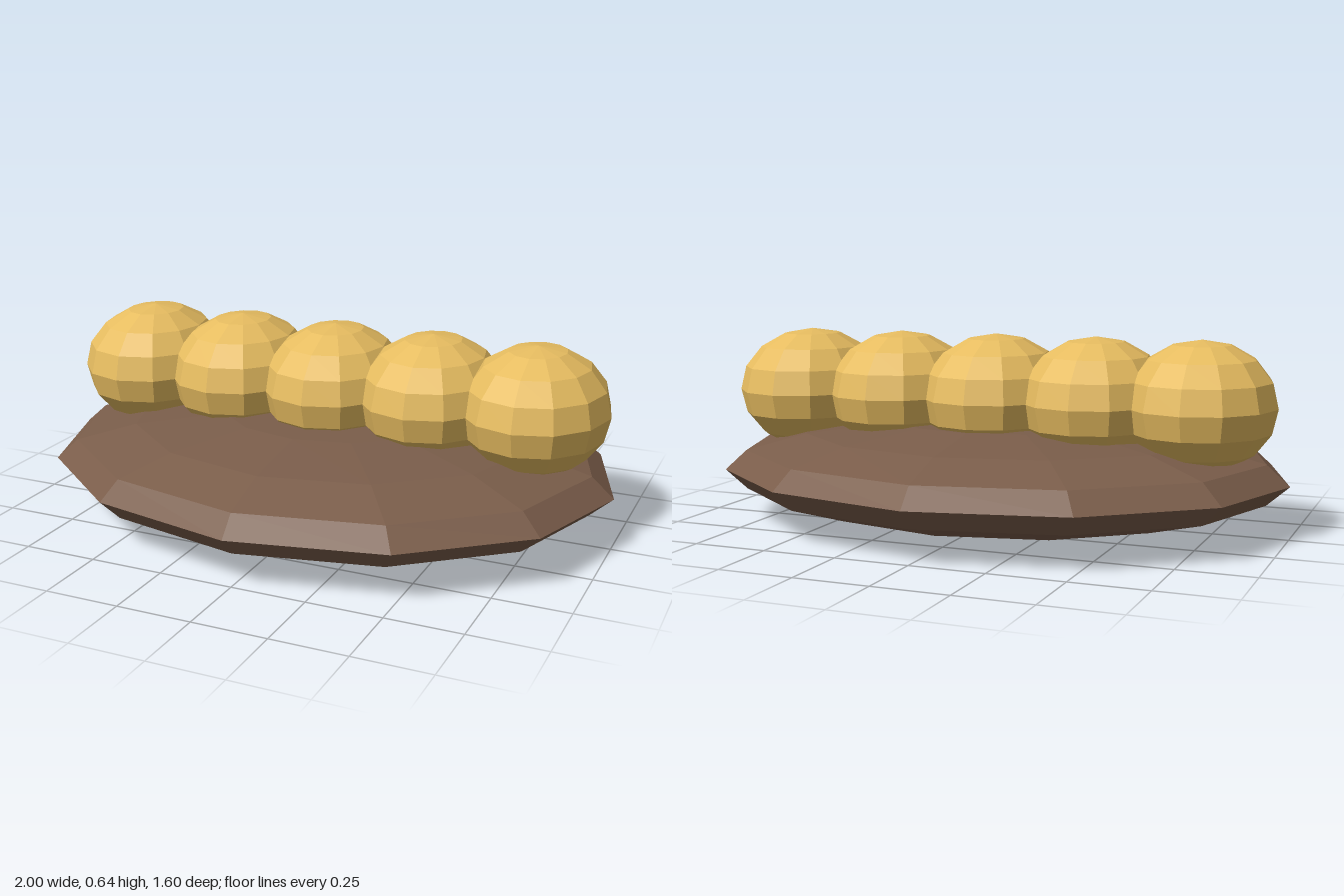
import * as THREE from 'three';

const plateMaterial = new THREE.MeshStandardMaterial({ color: 0x7a5d4a, flatShading: true });
const ballMaterial = new THREE.MeshStandardMaterial({ color: 0xe6bc60, flatShading: true });

// Faceted ellipsoid with the given radii and centre
function ellipsoid(name, material, radii, centre) {
  const geometry = new THREE.SphereGeometry(1, 12, 8);
  geometry.scale(...radii);
  const mesh = new THREE.Mesh(geometry, material);
  mesh.name = name;
  mesh.position.set(...centre);
  return mesh;
}

export function createModel() {
  const group = new THREE.Group();
  group.name = 'platterWithBalls';

  // Flat oval base
  group.add(ellipsoid('plate', plateMaterial, [1, 0.175, 0.8], [0, 0.175, 0]));

  // Row of five overlapping balls, set slightly behind the middle
  const balls = new THREE.Group();
  balls.name = 'ballRow';
  for (let i = -2; i <= 2; i++) {
    balls.add(ellipsoid(`ball${i + 3}`, ballMaterial, [0.25, 0.215, 0.285], [i * 0.357, 0.43, -0.047]));
  }
  group.add(balls);
  return group;
}
